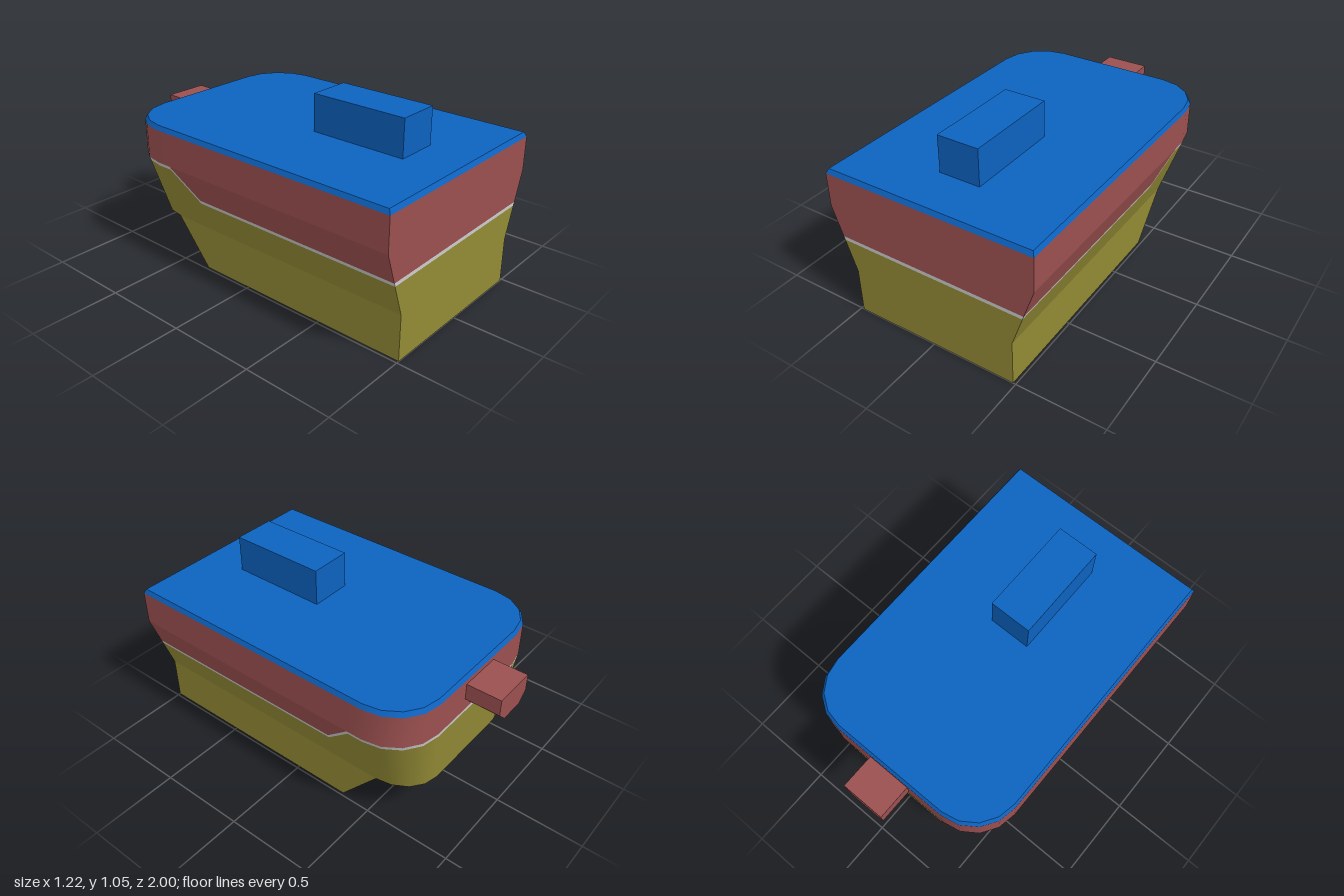
import * as THREE from 'three';
import { mergeGeometries } from 'three/addons/utils/BufferGeometryUtils.js';

const material = (color) => new THREE.MeshStandardMaterial({ color, side: THREE.DoubleSide });
const BLUE = material(0x0c62bf), RED = material(0x9c5050), OLIVE = material(0x928a35), GREY = material(0xcccccc);

const KNEE = 0.26, SHOULDER = 0.63, DECK = 0.82, TOP = 0.845, STRIP = 0.02;
const W = 0.61, NARROW = 0.485 / 0.61;
const { clamp, lerp, mapLinear } = THREE.MathUtils;

// Half outline: plan position at the shoulder (x, z) and at the knee (kx, kz)
function halfOutline() {
  const cols = [1, -0.28, -0.32, -0.45, -0.54].map((z) => ({ x: W, z, kx: W * NARROW, kz: z }));
  for (let i = 1; i <= 4; i++) {
    const a = (i / 4) * Math.PI / 2;
    const x = 0.35 + 0.26 * Math.cos(a), s = Math.sin(a);
    cols.push({ x, z: -0.54 - 0.265 * s, kx: x * NARROW, kz: -0.54 - 0.235 * s });
  }
  return cols;
}
const half = halfOutline();
const mirrored = half.map((c) => ({ ...c, x: -c.x, kx: -c.kx })).reverse();
const around = [...half, ...mirrored];
const front = [mirrored[mirrored.length - 1], half[0]];

// Heights that change along the hull
const bottom = (c) => clamp(mapLinear(c.z, -0.32, -0.54, 0, KNEE), 0, KNEE);
const seam = (c) => clamp(mapLinear(c.z, -0.28, -0.45, 0.44, 0.61), 0.44, 0.61);
const seamTop = (c) => seam(c) + STRIP;
const level = (y) => () => y;

// Point on the hull wall at a column and height
function wall(c, y) {
  const t = clamp((y - KNEE) / (SHOULDER - KNEE), 0, 1);
  return [lerp(c.kx, c.x, t), y, lerp(c.kz, c.z, t)];
}

// Point on the lid's bevelled edge
function lidEdge(c, y) {
  const t = (y - DECK) / (TOP - DECK);
  return [c.x * (1 - 0.02 * t), y, 0.1 + (c.z - 0.1) * (1 - 0.015 * t)];
}

// Strip of quads between two height rules, smooth along its length
function strip(cols, low, high, point) {
  const pos = [], index = [];
  cols.forEach((c, i) => {
    pos.push(...point(c, low(c)), ...point(c, high(c)));
    if (i === 0) return;
    const p = cols[i - 1];
    if (high(c) - low(c) < 1e-4 && high(p) - low(p) < 1e-4) return;
    const a = 2 * i - 2;
    index.push(a, a + 2, a + 3, a, a + 3, a + 1);
  });
  const g = new THREE.BufferGeometry();
  g.setAttribute('position', new THREE.Float32BufferAttribute(pos, 3));
  g.setIndex(index);
  g.computeVertexNormals();
  return g;
}

// Bands run round the sides and back, then across the flat front
function shell(bands, point = wall) {
  return mergeGeometries(bands.flatMap(([low, high]) =>
    [around, front].map((path) => strip(path, low, high, point))));
}

export function createModel() {
  const model = new THREE.Group();
  const add = (name, geometry, mat) => {
    const mesh = new THREE.Mesh(geometry, mat);
    mesh.name = name;
    model.add(mesh);
    return mesh;
  };

  // Open-bottomed hull
  add('lowerHull', shell([[bottom, level(KNEE)], [level(KNEE), seam]]), OLIVE);
  add('seamStrip', shell([[seam, seamTop]]), GREY);
  add('upperHull', shell([[seamTop, level(SHOULDER)], [level(SHOULDER), level(DECK)]]), RED);

  // Lid: bevelled rim and flat plate
  add('lidRim', shell([[level(DECK), level(TOP)]], lidEdge), BLUE);
  const plate = new THREE.Shape(around.map((c) => {
    const [x, , z] = lidEdge(c, TOP);
    return new THREE.Vector2(x, -z);
  }));
  add('lidPlate', new THREE.ShapeGeometry(plate).rotateX(-Math.PI / 2).translate(0, TOP, 0), BLUE);

  // Block on the lid
  add('topBlock', new THREE.BoxGeometry(0.24, 0.21, 0.565).translate(0, 0.95, 0.4375), BLUE);

  // Rear lug with chamfered lower corners
  const lug = new THREE.Shape([[-0.07, 0.645], [0.07, 0.645], [0.125, 0.7], [0.125, 0.795],
    [-0.125, 0.795], [-0.125, 0.7]].map(([x, y]) => new THREE.Vector2(x, y)));
  add('rearLug', new THREE.ExtrudeGeometry(lug, { depth: 0.196, bevelEnabled: false }).translate(0, 0, -1), RED);

  return model;
}
